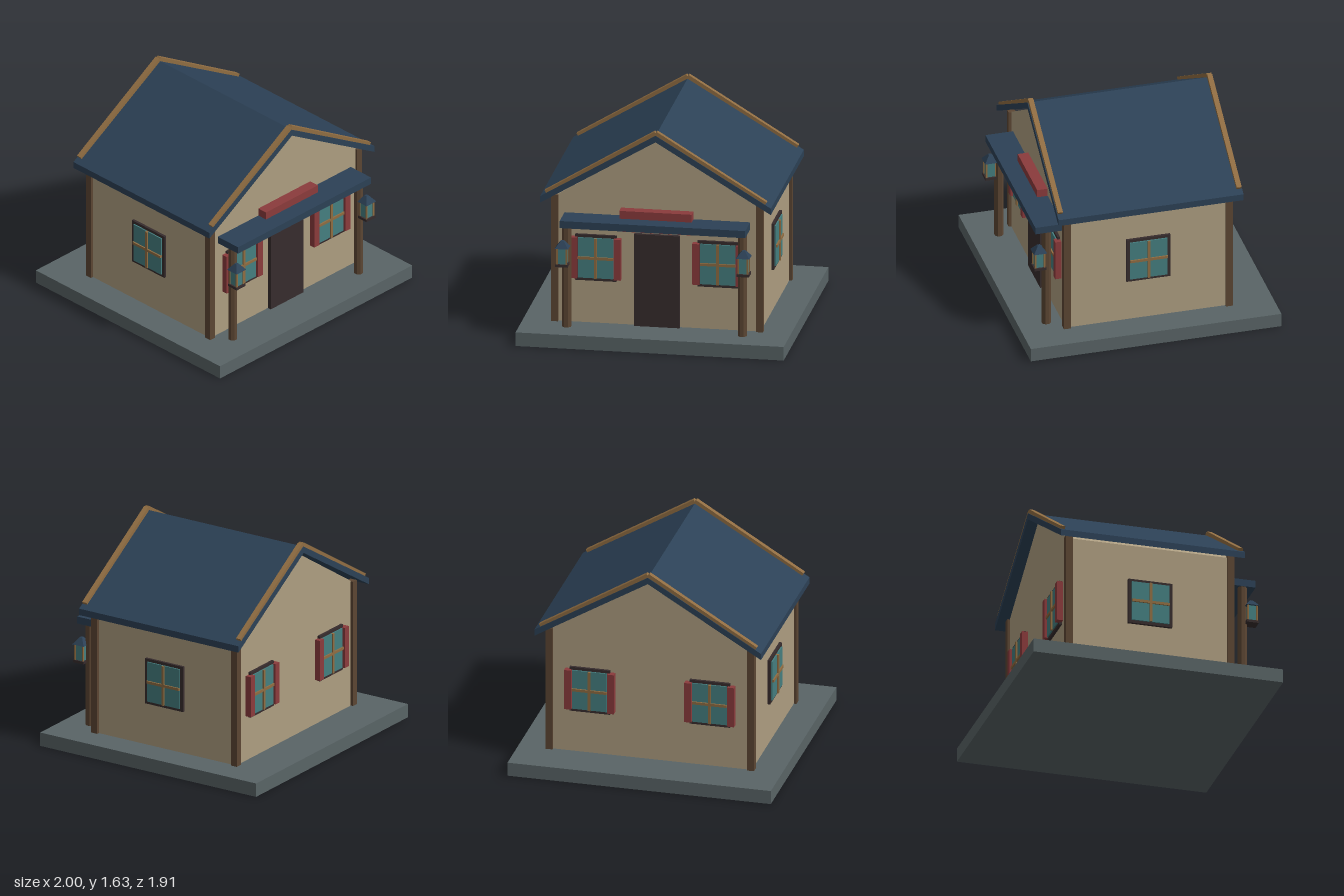
import * as THREE from 'three';

const mat = (name, color) => {
  const m = new THREE.MeshStandardMaterial({ color });
  m.name = name;
  return m;
};

export function createModel() {
  const house = new THREE.Group();
  house.name = 'house';

  const stone = mat('stone', 0x596466);
  const plaster = mat('plaster', 0xae9e81);
  const slate = mat('blue roof', 0x2c4156);
  const timber = mat('dark timber', 0x5c4633);
  const trim = mat('light wood trim', 0x906d42);
  const glass = mat('teal glass', 0x457f80);
  const red = mat('red paint', 0x8b3b3c);
  const dark = mat('dark frame', 0x372c2d);

  const add = (parent, name, geo, material, x = 0, y = 0, z = 0) => {
    const m = new THREE.Mesh(geo, material);
    m.name = name;
    m.position.set(x, y, z);
    parent.add(m);
    return m;
  };
  // Box given by its minimum and maximum corners
  const box = (parent, name, material, a, b) => add(parent, name,
    new THREE.BoxGeometry(b[0] - a[0], b[1] - a[1], b[2] - a[2]), material,
    (a[0] + b[0]) / 2, (a[1] + b[1]) / 2, (a[2] + b[2]) / 2);
  // Faceted cylinder or pyramid
  const faceted = (rTop, rBottom, h, sides, turn) => {
    const g = new THREE.CylinderGeometry(rTop, rBottom, h, sides).rotateY(turn).toNonIndexed();
    g.computeVertexNormals();
    return g;
  };
  // Front-facing outline extruded between two depths
  const prism = (name, material, points, z0, z1) => add(house, name,
    new THREE.ExtrudeGeometry(new THREE.Shape(points.map(p => new THREE.Vector2(...p))),
      { depth: z1 - z0, bevelEnabled: false }), material, 0, 0, z0);

  // Base slab and gabled walls
  box(house, 'base', stone, [-1, 0, -0.955], [1, 0.105, 0.955]);
  prism('walls', plaster,
    [[-0.77, 0.1], [0.77, 0.1], [0.77, 1.065], [0, 1.543], [-0.77, 1.065]], -0.625, 0.625);

  // Roof slopes with light trim along each gable
  for (const s of [-1, 1]) {
    const side = s > 0 ? 'left' : 'right';
    const slope = [[0, 1.55], [s * 0.86, 1.036], [s * 0.86, 1.086], [0, 1.6]];
    const strip = [[0, 1.598], [s * 0.815, 1.109], [s * 0.828, 1.13], [s * 0.01, 1.628], [0, 1.618]];
    prism(side + 'Roof', slate, slope, -0.705, 0.705);
    prism(side + 'FrontTrim', trim, strip, 0.662, 0.7);
    prism(side + 'BackTrim', trim, strip, -0.7, -0.662);
  }

  // Corner posts
  for (const x of [-0.765, 0.765]) for (const z of [-0.618, 0.618]) {
    box(house, 'cornerPost', timber, [x - 0.026, 0.1, z - 0.027], [x + 0.026, 1.08, z + 0.027]);
  }

  // Door, sign board and porch canopy
  box(house, 'door', dark, [-0.17, 0.105, 0.61], [0.17, 0.815, 0.655]);
  box(house, 'signBoard', red, [-0.27, 0.845, 0.62], [0.27, 1.005, 0.705]);
  box(house, 'porchRoof', slate, [-0.692, 0.89, 0.62], [0.692, 0.945, 0.835]);

  // Window facing +z, with its back on the local z = 0 plane
  const makeWindow = (w, h, border, shutters) => {
    const g = new THREE.Group();
    g.name = 'window';
    const fw = w / 2 + border, fh = h / 2 + 0.022;
    box(g, 'windowFrame', dark, [-fw, -fh, -0.01], [fw, fh, 0.02]);
    box(g, 'pane', glass, [-w / 2, -h / 2, 0], [w / 2, h / 2, 0.03]);
    box(g, 'verticalBar', trim, [-0.01, -h / 2, 0], [0.01, h / 2, 0.042]);
    box(g, 'crossBar', trim, [-w / 2, -0.01, 0], [w / 2, 0.01, 0.041]);
    if (shutters) for (const s of [-1, 1]) {
      add(g, 'shutter', new THREE.BoxGeometry(0.053, 0.315, 0.046), red, s * 0.163, 0, 0.023);
    }
    house.add(g);
    return g;
  };
  for (const s of [-1, 1]) {
    makeWindow(0.263, 0.31, 0.022, true).position.set(s * 0.456, 0.611, 0.625);
    const back = makeWindow(0.263, 0.31, 0.022, true);
    back.position.set(s * 0.456, 0.611, -0.625);
    back.rotation.y = Math.PI;
    const flank = makeWindow(0.286, 0.31, 0.025, false);
    flank.position.set(s * 0.77, 0.611, 0);
    flank.rotation.y = s * Math.PI / 2;
  }

  // Porch posts and lanterns
  for (const s of [-1, 1]) {
    add(house, 'porchPost', faceted(0.035, 0.035, 0.79, 8, Math.PI / 8), timber, s * 0.655, 0.495, 0.743);
    const lantern = new THREE.Group();
    lantern.name = 'lantern';
    lantern.position.set(s * 0.676, 0, 0.805);
    box(lantern, 'lanternBase', dark, [-0.046, 0.592, -0.046], [0.046, 0.612, 0.046]);
    box(lantern, 'lanternGlass', glass, [-0.034, 0.61, -0.034], [0.034, 0.735, 0.034]);
    for (const x of [-0.034, 0.034]) for (const z of [-0.034, 0.034]) {
      box(lantern, 'lanternBar', trim, [x - 0.006, 0.61, z - 0.006], [x + 0.006, 0.735, z + 0.006]);
    }
    add(lantern, 'lanternRoof', faceted(0.015, 0.0715, 0.052, 4, Math.PI / 4), slate, 0, 0.759, 0);
    house.add(lantern);
  }

  return house;
}
